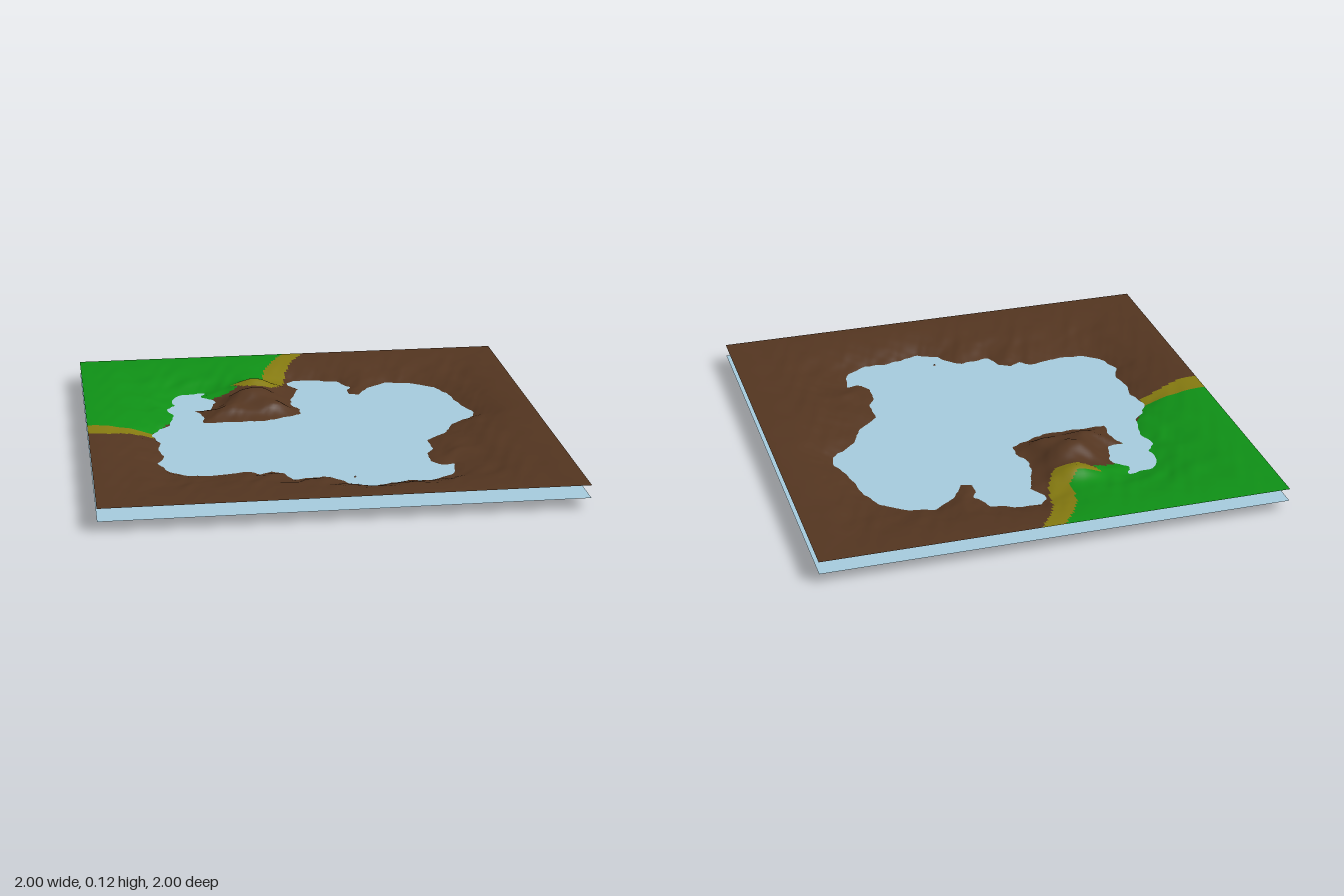
import * as THREE from 'three';

const WATER_Y = 0.045, RIM_Y = 0.1, N = 160;

// Shoreline of the lake, as [x, z]
const shore = [
  [-0.46, -0.6], [-0.55, -0.58], [-0.6, -0.52], [-0.59, -0.43], [-0.63, -0.38], [-0.6, -0.28],
  [-0.63, -0.15], [-0.68, -0.1], [-0.72, -0.02], [-0.69, 0.08], [-0.7, 0.18], [-0.68, 0.27],
  [-0.72, 0.35], [-0.67, 0.46], [-0.6, 0.52], [-0.48, 0.53], [-0.34, 0.5], [-0.3, 0.54],
  [-0.25, 0.51], [-0.2, 0.54], [-0.17, 0.62], [-0.04, 0.6], [0.02, 0.64], [0.05, 0.7],
  [0.14, 0.74], [0.3, 0.7], [0.4, 0.7], [0.5, 0.65], [0.53, 0.52], [0.48, 0.53],
  [0.43, 0.47], [0.44, 0.37], [0.48, 0.31], [0.47, 0.2], [0.58, 0.1], [0.62, 0],
  [0.74, -0.1], [0.75, -0.17], [0.71, -0.28], [0.69, -0.45], [0.64, -0.55], [0.55, -0.62],
  [0.43, -0.65], [0.36, -0.6], [0.3, -0.54], [0.28, -0.48], [0.23, -0.5], [0.23, -0.57],
  [0.25, -0.6], [0.2, -0.69], [0.1, -0.73], [0, -0.74], [-0.04, -0.7], [-0.03, -0.65],
  [0, -0.6], [-0.03, -0.5], [-0.06, -0.38], [-0.02, -0.3], [-0.03, -0.23], [-0.1, -0.2],
  [-0.2, -0.16], [-0.35, -0.16], [-0.48, -0.16], [-0.47, -0.25], [-0.5, -0.34], [-0.43, -0.34],
  [-0.4, -0.45], [-0.41, -0.5], [-0.46, -0.54], [-0.43, -0.6],
];

// Ground cover regions
const grassArea = [
  [-1.1, -1.1], [0.02, -1.1], [-0.02, -1], [-0.1, -0.88], [-0.14, -0.8], [-0.15, -0.66],
  [-0.2, -0.6], [-0.32, -0.6], [-0.28, -0.55], [-0.41, -0.5], [-0.43, -0.4], [-0.55, -0.3],
  [-0.64, -0.15], [-0.71, -0.04], [-1.1, -0.04],
];
const sandAreas = [
  [[-0.1, -1.1], [0.14, -1.1], [0.08, -1], [0, -0.88], [-0.03, -0.8], [-0.04, -0.75],
    [-0.07, -0.62], [-0.12, -0.53], [-0.24, -0.53], [-0.33, -0.6], [-0.2, -0.75]],
  [[-1.1, -0.1], [-0.71, -0.05], [-0.71, 0.02], [-0.82, 0.04], [-0.9, 0.07], [-1.1, 0.07]],
];

// Hills: x, z, radius x, radius z, height
const hills = [
  [-0.25, -0.4, 0.1, 0.08, 0.05], [-0.16, -0.44, 0.09, 0.1, 0.02], [-0.36, -0.27, 0.12, 0.1, 0.025],
  [-0.14, -0.28, 0.1, 0.08, 0.025], [-0.2, -0.58, 0.1, 0.06, 0.035], [0.09, 0.62, 0.018, 0.018, 0.035],
];

function inside(poly, x, z) {
  let hit = false;
  for (let i = 0, j = poly.length - 1; i < poly.length; j = i++) {
    const [ax, az] = poly[i], [bx, bz] = poly[j];
    if (az > z !== bz > z && x < ax + ((z - az) / (bz - az)) * (bx - ax)) hit = !hit;
  }
  return hit;
}

// Distance to the shoreline, negative over the lake
function shoreDistance(x, z) {
  let best = Infinity;
  shore.forEach(([ax, az], i) => {
    const [bx, bz] = shore[(i + 1) % shore.length];
    const dx = bx - ax, dz = bz - az;
    const t = THREE.MathUtils.clamp(((x - ax) * dx + (z - az) * dz) / (dx * dx + dz * dz), 0, 1);
    best = Math.min(best, Math.hypot(x - ax - t * dx, z - az - t * dz));
  });
  return inside(shore, x, z) ? -best : best;
}

// Gentle layered ripples for uneven ground
function ripple(x, z) {
  return 0.5 * Math.sin(17 * x + 3 * Math.sin(9 * z)) * Math.cos(15 * z + 2 * Math.sin(11 * x))
    + 0.3 * Math.sin(37 * x - 21 * z + 2 * Math.sin(19 * z))
    + 0.2 * Math.sin(31 * z + 45 * x + 2 * Math.cos(23 * x));
}

function groundHeight(x, z) {
  const border = Math.min(1 - Math.abs(x), 1 - Math.abs(z));
  const d = shoreDistance(x, z) + 0.008 * ripple(2 * x, 2 * z) * Math.min(1, border * 5);
  let h;
  if (d < 0) {
    h = WATER_Y * (1 - THREE.MathUtils.smoothstep(-d, -0.06, 0.15)) / (1 - THREE.MathUtils.smoothstep(0, -0.06, 0.15));
  } else {
    const t = d / (d + Math.max(border, 0) + 1e-6);
    h = WATER_Y + (RIM_Y - WATER_Y) * (1 - (1 - t) ** 2);
    h += 0.007 * ripple(x, z) * Math.min(1, d * 8) * Math.min(1, border * 3);
  }
  for (const [cx, cz, rx, rz, amount] of hills) {
    const fade = rx < 0.05 ? 1 : THREE.MathUtils.clamp(d / 0.08, 0, 1);
    h += amount * fade * Math.exp(-(((x - cx) / rx) ** 2) - ((z - cz) / rz) ** 2);
  }
  return Math.max(0, h);
}

export function createModel() {
  const model = new THREE.Group();

  // Whole terrain sheet, shaped by the height rule
  const ground = new THREE.PlaneGeometry(2, 2, N, N).rotateX(-Math.PI / 2);
  const p = ground.attributes.position;
  for (let i = 0; i < p.count; i++) p.setY(i, groundHeight(p.getX(i), p.getZ(i)));
  ground.computeVertexNormals();

  // Sort the grid cells by ground cover; normals stay continuous across borders
  const cells = { soil: [], grass: [], sand: [] };
  const index = ground.index.array;
  for (let c = 0; c < N * N; c++) {
    const x = ((c % N) + 0.5) * 2 / N - 1, z = (Math.floor(c / N) + 0.5) * 2 / N - 1;
    const kind = inside(grassArea, x, z) ? 'grass'
      : sandAreas.some((area) => inside(area, x, z)) ? 'sand' : 'soil';
    cells[kind].push(...index.slice(c * 6, c * 6 + 6));
  }
  const colors = { soil: 0x533520, grass: 0x0f9016, sand: 0x857a10 };
  for (const kind in cells) {
    const part = ground.clone().setIndex(cells[kind]).toNonIndexed();
    const mesh = new THREE.Mesh(part, new THREE.MeshStandardMaterial({ color: colors[kind], side: THREE.DoubleSide }));
    mesh.name = kind;
    model.add(mesh);
  }

  // Flat water sheet
  const water = new THREE.Mesh(
    new THREE.PlaneGeometry(2, 2).rotateX(-Math.PI / 2),
    new THREE.MeshStandardMaterial({ color: 0xa5cbdd, side: THREE.DoubleSide }),
  );
  water.name = 'water';
  water.position.y = WATER_Y;
  model.add(water);
  return model;
}
